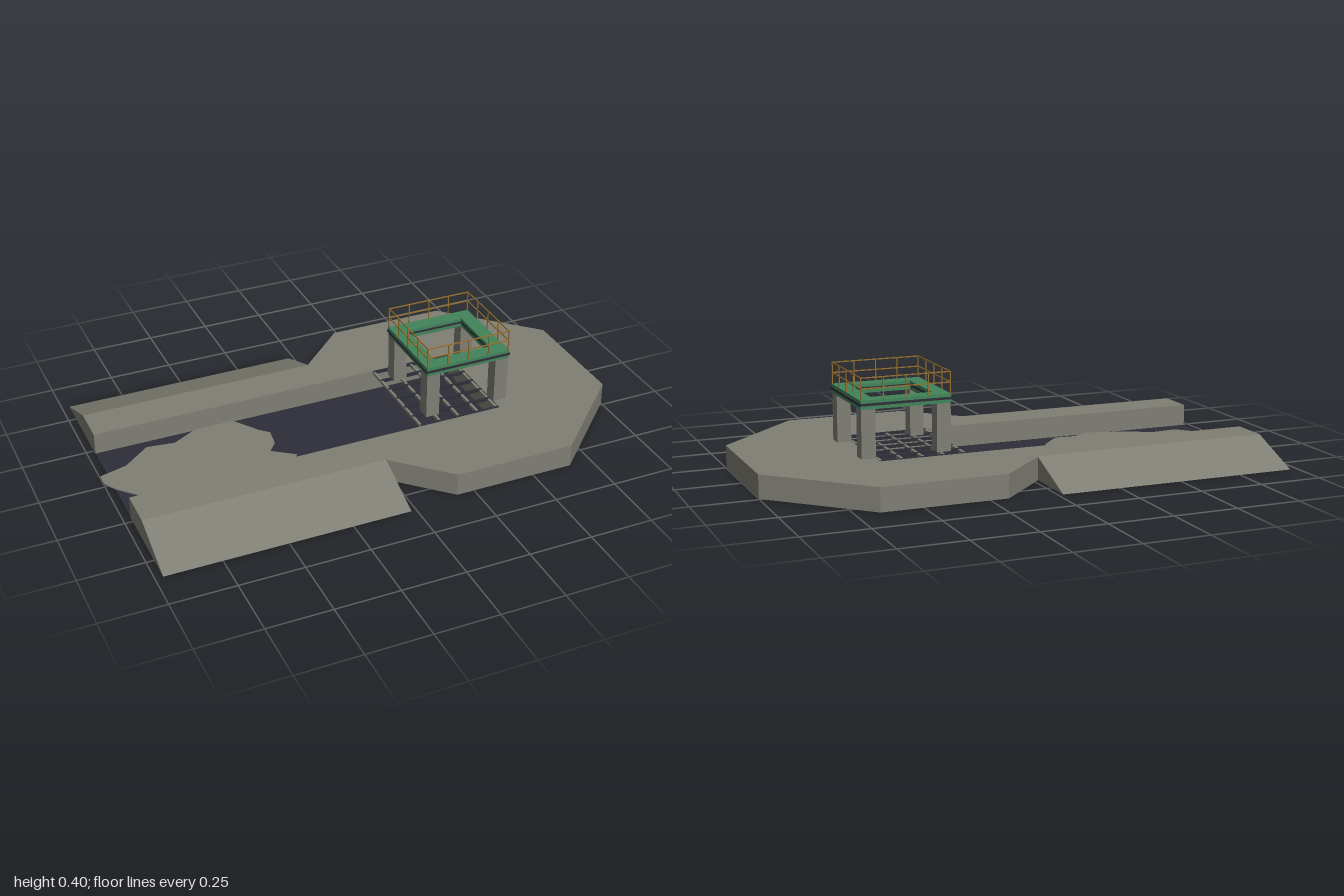
import * as THREE from 'three';

const material = (name, color) => new THREE.MeshStandardMaterial({ name, color });

export function createModel() {
  const concrete = material('concrete', 0x807f75);
  const dark = material('dark slate', 0x2e2e38);
  const green = material('deck green', 0x42835a);
  const ochre = material('railing ochre', 0x96702c);

  const model = new THREE.Group();
  model.name = 'intakeStructure';

  const add = (parent, name, geometry, mat) => {
    const mesh = new THREE.Mesh(geometry, mat);
    mesh.name = name;
    parent.add(mesh);
    return mesh;
  };
  // Box given by its min and max on each axis
  const box = (parent, name, mat, x0, x1, y0, y1, z0, z1) => {
    const mesh = add(parent, name, new THREE.BoxGeometry(x1 - x0, y1 - y0, z1 - z0), mat);
    mesh.position.set((x0 + x1) / 2, (y0 + y1) / 2, (z0 + z1) / 2);
    return mesh;
  };
  const polygon = (points) => new THREE.Shape(points.map(([x, y]) => new THREE.Vector2(x, y)));
  // Horizontal slab from an (x, z) outline
  const slab = (parent, name, mat, shape, y, height) => {
    const geometry = new THREE.ExtrudeGeometry(shape, { depth: height, bevelEnabled: false });
    geometry.rotateX(-Math.PI / 2);
    geometry.translate(0, y, 0);
    return add(parent, name, geometry, mat);
  };

  const top = 0.09;
  const channel = 0.225;

  // Apron with a slot for the channel
  const half = [[-0.02, channel], [-0.02, 0.38], [0.18, 0.575], [0.66, 0.575], [1, 0.24]];
  const otherHalf = half.map(([x, z]) => [x, -z]).reverse();
  slab(model, 'apron', concrete,
    polygon([...half, ...otherHalf, [0.54, -channel], [0.54, channel]]), 0, top);

  // Sloped banks on both sides of the channel
  for (const side of [1, -1]) {
    const profile = polygon([[side * channel, 0], [side * 0.6, 0], [side * 0.375, top], [side * channel, top]]);
    const geometry = new THREE.ExtrudeGeometry(profile, { depth: 0.95, bevelEnabled: false });
    geometry.rotateY(-Math.PI / 2);
    geometry.translate(-0.02, 0, 0);
    add(model, side > 0 ? 'frontBank' : 'backBank', geometry, concrete);
  }

  // Channel floor and the ragged sediment patch on it
  box(model, 'channelFloor', dark, -0.97, 0.54, 0, 0.004, -channel, channel);
  const patch = [
    [-1, -0.06], [-0.89, -0.09], [-0.78, -0.18], [-0.67, -0.165], [-0.57, -0.222],
    [-0.41, -0.222], [-0.34, -0.12], [-0.305, -0.085], [-0.315, -0.01], [-0.353, 0.037],
    [-0.267, 0.1], [-0.353, 0.192], [-0.433, 0.187], [-0.513, 0.222], [-0.663, 0.187],
    [-0.77, 0.128], [-0.877, 0.139], [-0.97, 0.04], [-1, -0.01],
  ];
  slab(model, 'sediment', concrete, polygon(patch.map(([x, z]) => [x, -z])), 0.005, 0.005);

  // Trash rack over the channel end
  const rack = new THREE.Group();
  rack.name = 'trashRack';
  model.add(rack);
  for (let i = 0; i < 5; i++) {
    const x = 0.203 + i * 0.082;
    box(rack, 'crossBar', concrete, x - 0.005, x + 0.005, 0.078, 0.089, -channel, channel);
  }
  for (let i = 0; i < 7; i++) {
    const z = (i - 3) * 0.073;
    box(rack, 'longBar', dark, 0.2, 0.54, 0.08, 0.091, z - 0.005, z + 0.005);
  }

  // Tower legs
  const tower = new THREE.Group();
  tower.name = 'tower';
  model.add(tower);
  for (const x of [0.245, 0.54]) {
    for (const z of [-0.175, 0.12]) {
      box(tower, 'leg', concrete, x, x + 0.055, top, 0.28, z, z + 0.055);
    }
  }

  // Square ring deck with a dark band round it
  const cx = 0.42;
  const ring = (r) => {
    const square = (s) => [[cx - s, -s], [cx + s, -s], [cx + s, s], [cx - s, s]];
    const shape = polygon(square(r));
    shape.holes.push(polygon(square(0.12)));
    return shape;
  };
  slab(tower, 'lowerDeck', green, ring(0.176), 0.275, 0.014);
  slab(tower, 'deckBand', dark, ring(0.18), 0.289, 0.009);
  slab(tower, 'upperDeck', green, ring(0.177), 0.298, 0.012);

  // Railing: two rails and four bays on each side
  const railing = new THREE.Group();
  railing.name = 'railing';
  railing.position.x = cx;
  tower.add(railing);
  const r = 0.174;
  const t = 0.002;
  for (let k = 0; k < 4; k++) {
    const side = new THREE.Group();
    side.name = 'railingSide';
    side.rotation.y = k * Math.PI / 2;
    railing.add(side);
    for (const y of [0.353, 0.393]) {
      box(side, 'rail', ochre, -r - t, r + t, y - t, y + t, r - t, r + t);
    }
    for (let i = 0; i < 4; i++) {
      const x = -r + i * r / 2;
      box(side, 'post', ochre, x - t, x + t, 0.31, 0.393, r - t, r + t);
    }
  }

  return model;
}
